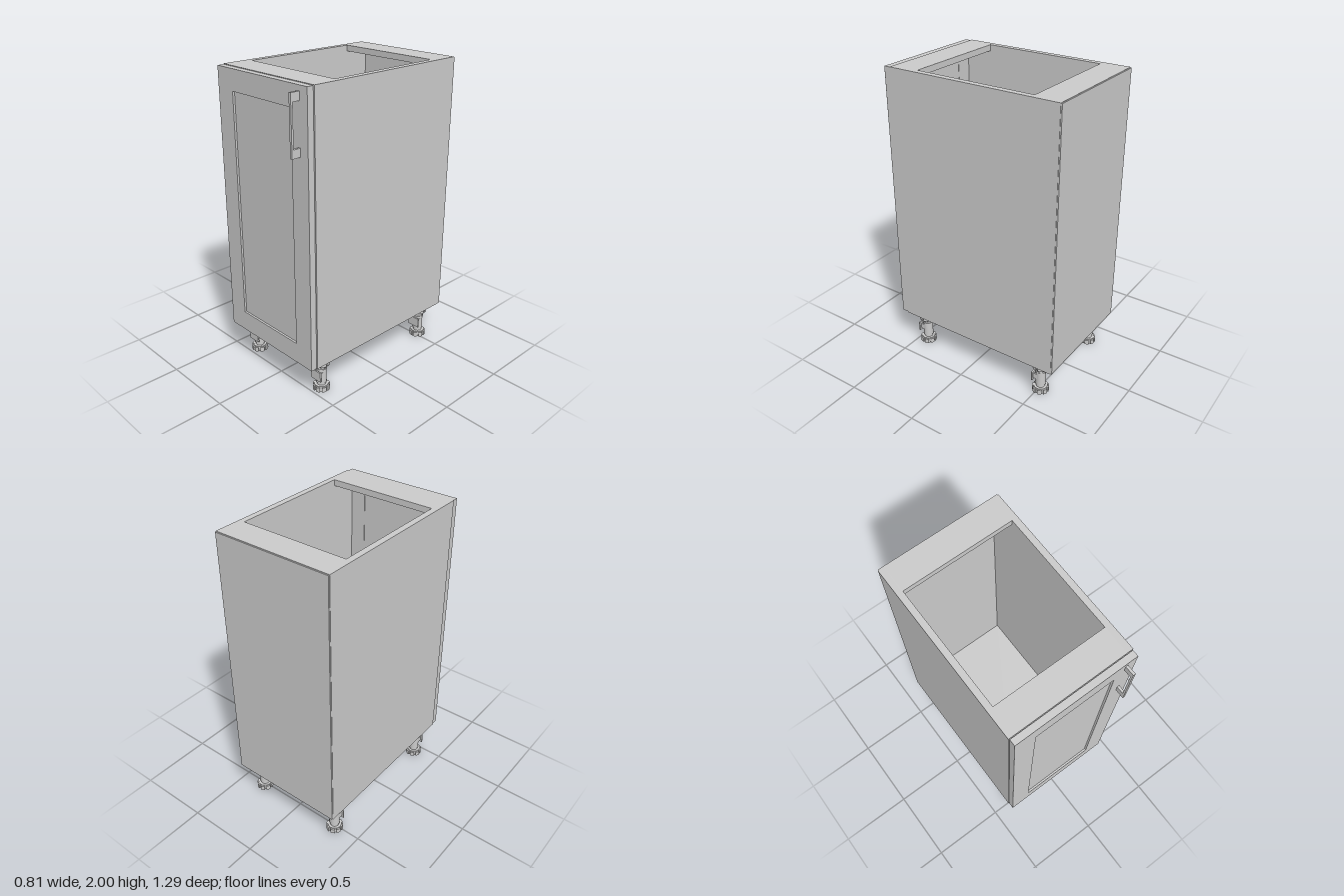
import * as THREE from 'three';

const grey = new THREE.MeshStandardMaterial({ color: 0xcccccc });

function add(parent, name, geometry, x = 0, y = 0, z = 0) {
  const mesh = new THREE.Mesh(geometry, grey);
  mesh.name = name;
  mesh.position.set(x, y, z);
  parent.add(mesh);
  return mesh;
}

// Box given by its limits on each axis
function block(parent, name, [x0, x1], [y0, y1], [z0, z1]) {
  return add(parent, name, new THREE.BoxGeometry(x1 - x0, y1 - y0, z1 - z0),
    (x0 + x1) / 2, (y0 + y1) / 2, (z0 + z1) / 2);
}

function cylinder(parent, name, radius, y0, y1, sides = 32) {
  return add(parent, name, new THREE.CylinderGeometry(radius, radius, y1 - y0, sides), 0, (y0 + y1) / 2, 0);
}

function rectangle(Type, x0, x1, y0, y1) {
  return new Type([[x0, y0], [x1, y0], [x1, y1], [x0, y1]].map(p => new THREE.Vector2(...p)));
}

// Round disc with square notches cut in its rim, lying flat
function notchedDisc(radius, inner, height, notches) {
  const shape = new THREE.Shape();
  const step = (Math.PI * 2) / notches;
  const half = 0.007 / radius;
  for (let i = 0; i < notches; i++) {
    const a = i * step;
    shape.absarc(0, 0, radius, a + half, a + step - half, false);
    shape.lineTo(inner * Math.cos(a + step - half), inner * Math.sin(a + step - half));
    shape.lineTo(inner * Math.cos(a + step + half), inner * Math.sin(a + step + half));
  }
  return new THREE.ExtrudeGeometry(shape, { depth: height, bevelEnabled: false, curveSegments: 8 })
    .rotateX(-Math.PI / 2);
}

// Adjustable leg with screw foot, sleeve, plinth clip and ribbed socket
function createLeg() {
  const leg = new THREE.Group();
  add(leg, 'foot', notchedDisc(0.055, 0.043, 0.033, 8), 0, 0.002, 0);
  cylinder(leg, 'footPad', 0.045, 0, 0.04);
  cylinder(leg, 'footScrew', 0.029, 0.03, 0.09);
  cylinder(leg, 'sleeve', 0.033, 0.055, 0.185);
  cylinder(leg, 'sleeveCollar', 0.036, 0.15, 0.16);
  block(leg, 'clipPlate', [-0.043, 0.043], [0.086, 0.152], [0.039, 0.048]);
  for (const s of [-1, 1]) {
    block(leg, 'clipArm', [s * 0.026 - 0.005, s * 0.026 + 0.005], [0.1, 0.138], [0, 0.041]);
  }
  add(leg, 'socket', notchedDisc(0.056, 0.044, 0.042, 6), 0, 0.19, 0);
  cylinder(leg, 'socketFlange', 0.058, 0.23, 0.241);
  for (let i = 0; i < 4; i++) {
    const rib = block(leg, 'socketRib', [-0.04, 0.04], [0.165, 0.235], [-0.005, 0.005]);
    rib.rotation.y = (i * Math.PI) / 4;
  }
  return leg;
}

export function createModel() {
  const model = new THREE.Group();
  model.name = 'baseCabinet';

  // Open-topped carcass
  const carcass = new THREE.Group();
  carcass.name = 'carcass';
  model.add(carcass);
  for (const s of [-1, 1]) {
    block(carcass, 'sidePanel', [s * 0.385 - 0.02, s * 0.385 + 0.02], [0.24, 2], [-0.637, 0.538]);
  }
  block(carcass, 'bottomPanel', [-0.365, 0.365], [0.24, 0.28], [-0.637, 0.538]);
  block(carcass, 'backPanel', [-0.402, 0.402], [0.243, 1.997], [-0.645, -0.637]);
  block(carcass, 'backRail', [-0.365, 0.365], [1.96, 2], [-0.637, -0.455]);
  block(carcass, 'frontRail', [-0.365, 0.365], [1.96, 2], [0.355, 0.538]);

  // Framed door with a recessed panel
  const door = new THREE.Group();
  door.name = 'door';
  model.add(door);
  const frame = rectangle(THREE.Shape, -0.4, 0.4, 0.242, 1.997);
  frame.holes.push(rectangle(THREE.Path, -0.262, 0.262, 0.378, 1.863));
  add(door, 'doorFrame', new THREE.ExtrudeGeometry(frame, { depth: 0.042, bevelEnabled: false }), 0, 0, 0.542);
  block(door, 'doorPanel', [-0.262, 0.262], [0.378, 1.863], [0.545, 0.57]);

  // Square bow handle, drawn in side profile
  const bow = new THREE.Shape([
    [0.582, 1.6], [0.645, 1.6], [0.645, 1.965], [0.582, 1.965],
    [0.582, 1.913], [0.632, 1.913], [0.632, 1.652], [0.582, 1.652],
  ].map(p => new THREE.Vector2(...p)));
  const handle = new THREE.ExtrudeGeometry(bow, { depth: 0.016, bevelEnabled: false }).rotateY(-Math.PI / 2);
  add(door, 'handle', handle, 0.338, 0, 0);

  // Four legs
  for (const x of [-0.318, 0.318]) {
    for (const z of [-0.517, 0.43]) {
      const leg = createLeg();
      leg.name = 'leg';
      leg.position.set(x, 0, z);
      model.add(leg);
    }
  }
  return model;
}
